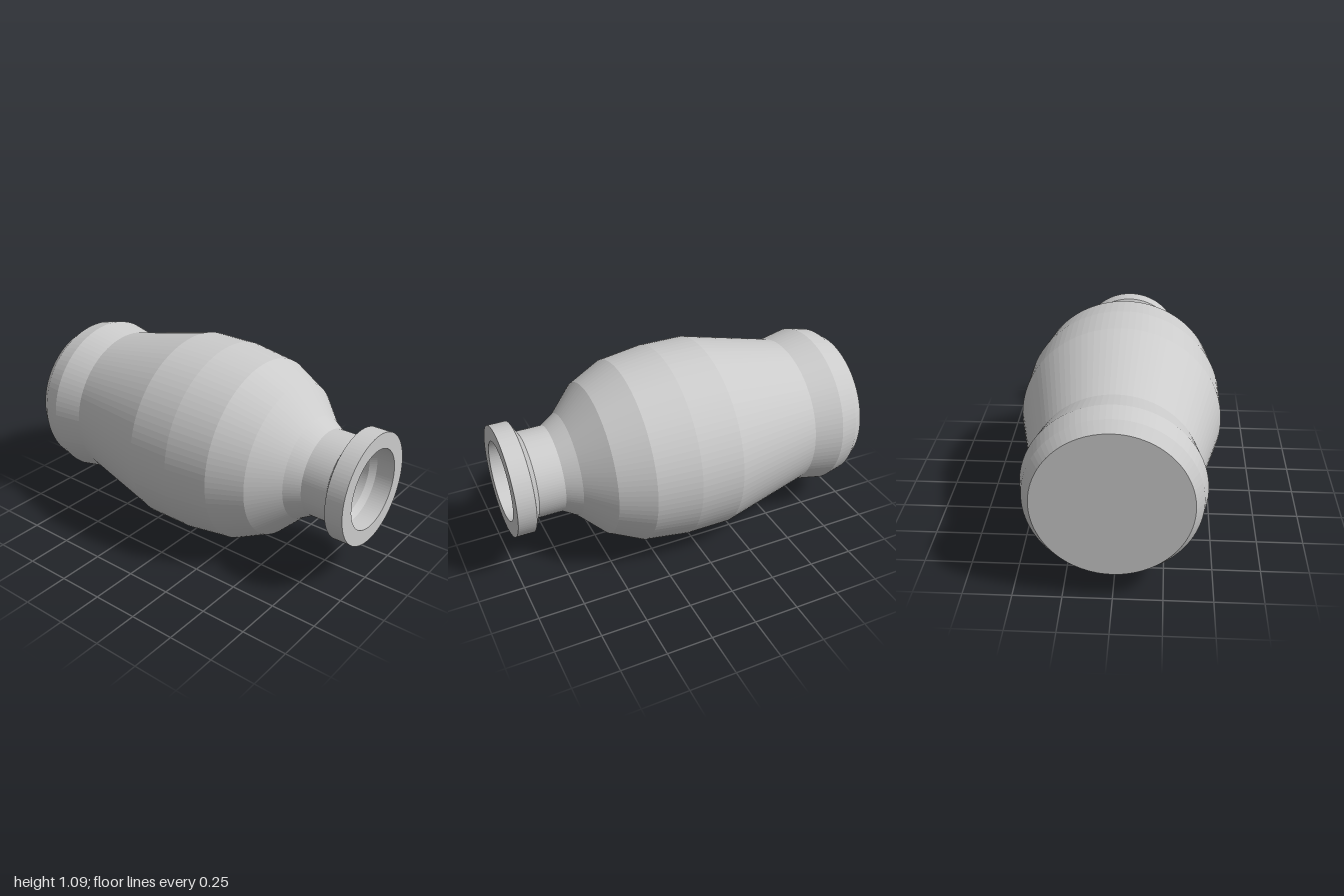
import * as THREE from 'three';

const SIDES = 96;
const AXIS_HEIGHT = 0.545;

// Revolves [radius, z] pairs around the z axis, with crisp bands
function revolve(name, profile) {
  const points = profile.map(([r, z]) => new THREE.Vector2(r, z));
  const geometry = new THREE.LatheGeometry(points, SIDES);
  geometry.rotateX(Math.PI / 2);
  const material = new THREE.MeshStandardMaterial({
    color: 0xcccccc, flatShading: true, side: THREE.DoubleSide,
  });
  const mesh = new THREE.Mesh(geometry, material);
  mesh.name = name;
  return mesh;
}

export function createModel() {
  const bottle = new THREE.Group();
  bottle.name = 'bottle';

  // Outer wall: flat base, heel bulge, waist, swelling belly and shoulder
  bottle.add(revolve('body', [
    [0, -1], [0.393, -1], [0.435, -0.94], [0.456, -0.84], [0.425, -0.68],
    [0.545, -0.16], [0.545, 0.08], [0.512, 0.32], [0.425, 0.5],
    [0.285, 0.64], [0.238, 0.72],
  ]));

  // Neck with the flared collar, flat rim and stepped mouth
  bottle.add(revolve('neckAndRim', [
    [0.238, 0.72], [0.238, 0.865], [0.304, 0.9], [0.304, 1],
    [0.218, 1], [0.218, 0.9], [0.198, 0.865], [0.198, 0.7],
  ]));

  // Hollow inside, following the outer wall down to the floor
  bottle.add(revolve('innerWall', [
    [0.198, 0.7], [0.255, 0.61], [0.39, 0.475], [0.472, 0.31], [0.505, 0.08],
    [0.505, -0.16], [0.385, -0.68], [0.415, -0.84], [0.395, -0.92],
    [0.37, -0.96], [0, -0.96],
  ]));

  bottle.position.y = AXIS_HEIGHT;
  const model = new THREE.Group();
  model.name = 'lyingBottle';
  model.add(bottle);
  return model;
}
